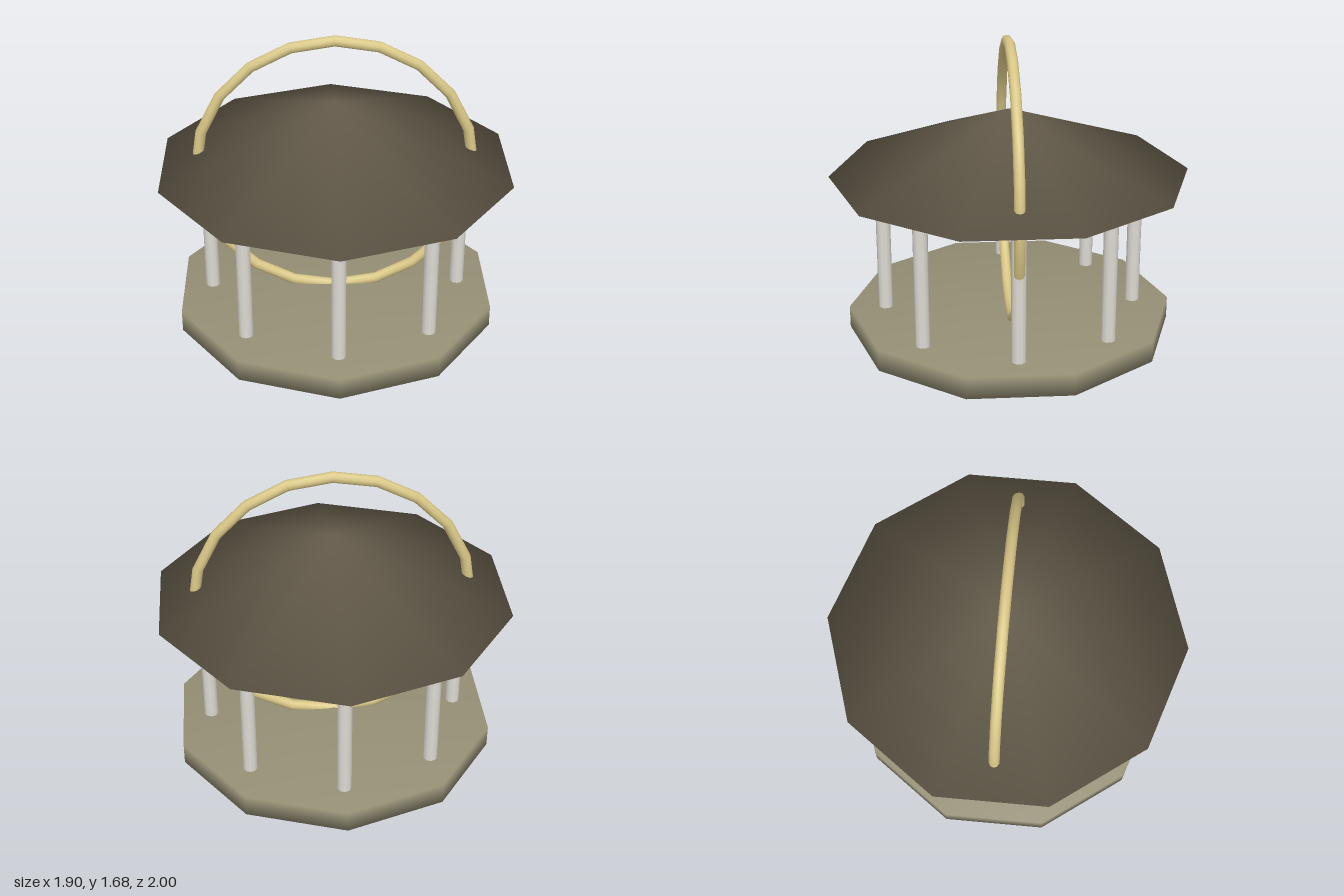
import * as THREE from 'three';
import { mergeVertices } from 'three/addons/utils/BufferGeometryUtils.js';

const SIDES = 10;

const material = (name, color) => {
  const m = new THREE.MeshStandardMaterial({ color });
  m.name = name;
  return m;
};

// Weld corners so the shading runs smoothly over every edge
function smooth(geometry) {
  geometry.deleteAttribute('normal');
  geometry.deleteAttribute('uv');
  const welded = mergeVertices(geometry, 1e-4);
  welded.computeVertexNormals();
  return welded;
}

export function createModel() {
  const group = new THREE.Group();
  const stone = material('olive stone', 0x948e74);
  const shingle = material('dark brown roof', 0x655c4b);
  const white = material('off white', 0xdedad3);
  const gold = material('pale gold', 0xdac887);

  const add = (name, geometry, mat, x = 0, y = 0, z = 0) => {
    const mesh = new THREE.Mesh(geometry, mat);
    mesh.name = name;
    mesh.position.set(x, y, z);
    group.add(mesh);
    return mesh;
  };

  // Ten-sided floor slab
  const floorHeight = 0.125;
  add('base', smooth(new THREE.CylinderGeometry(0.917, 0.917, floorHeight, SIDES)), stone, 0, floorHeight / 2, 0);

  // Closed, shallow pyramid roof
  const eaves = 0.92, roofHeight = 0.373;
  add('roof', smooth(new THREE.ConeGeometry(1, roofHeight, SIDES)), shingle, 0, eaves + roofHeight / 2, 0);

  // Eight posts in a circle
  const postHeight = eaves - floorHeight + 0.01;
  const postGeometry = new THREE.CylinderGeometry(0.04, 0.04, postHeight, SIDES);
  for (let i = 0; i < 8; i++) {
    const a = (i * Math.PI) / 4;
    add('post' + (i + 1), postGeometry, white, 0.71 * Math.sin(a), (eaves + floorHeight) / 2, 0.71 * Math.cos(a));
  }

  // Upright hoop passing through roof and floor
  add('hoop', new THREE.TorusGeometry(0.77, 0.03, SIDES, 20), gold, 0, 0.88, 0);

  return group;
}
